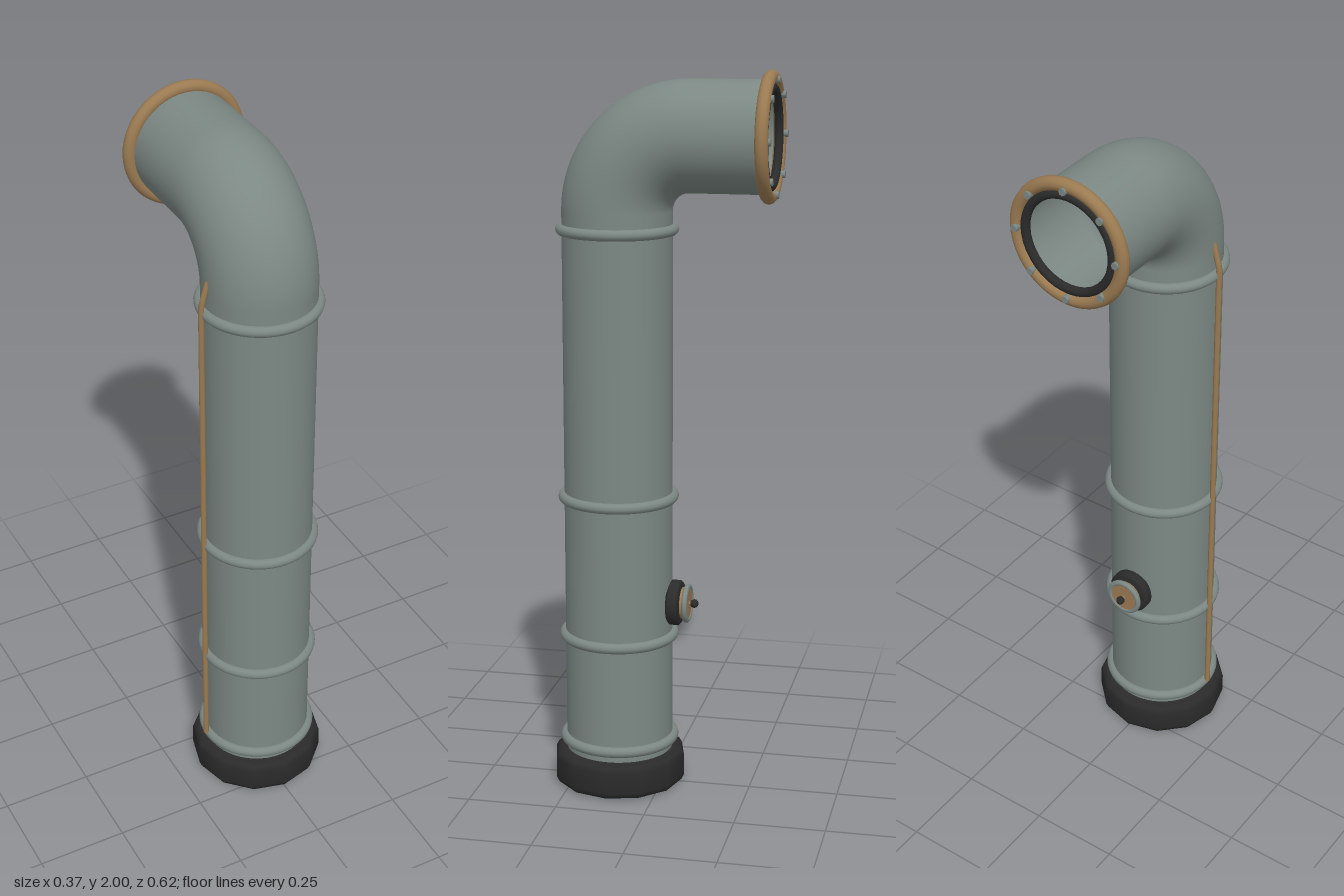
import * as THREE from 'three';

const paint = (name, color, side = THREE.FrontSide) => {
  const m = new THREE.MeshStandardMaterial({ color, side });
  m.name = name;
  return m;
};

export function createModel() {
  const model = new THREE.Group();
  model.name = 'bentPipe';
  const steel = paint('greyGreenSteel', 0x7c8884, THREE.DoubleSide);
  const brass = paint('agedBrass', 0x9b7b52);
  const rubber = paint('blackRubber', 0x2b2b2b);

  const R = 0.15;        // pipe radius
  const Z = 0.125;       // axis of the upright pipe
  const BEND_Y = 1.625;  // where the elbow starts
  const BEND_R = 0.2;    // elbow centreline radius
  const TOP_Y = BEND_Y + BEND_R;

  const add = (name, geometry, material, x, y, z, parent = model) => {
    const mesh = new THREE.Mesh(geometry, material);
    mesh.name = name;
    mesh.position.set(x, y, z);
    parent.add(mesh);
    return mesh;
  };
  // Cylinder lying along z
  const rod = (r, length, sides = 24, open = false) =>
    new THREE.CylinderGeometry(r, r, length, sides, 1, open).rotateX(Math.PI / 2);

  // Twelve-sided rubber foot with rounded rims
  const footProfile = [
    [0, 0], [0.165, 0], [0.179, 0.006], [0.187, 0.022],
    [0.187, 0.08], [0.179, 0.095], [0.165, 0.102], [0, 0.102],
  ].map(([x, y]) => new THREE.Vector2(x, y));
  add('foot', new THREE.LatheGeometry(footProfile, 12), rubber, 0, 0, Z);

  // Upright pipe, elbow and open mouth
  const upright = BEND_Y - 0.05;
  add('uprightPipe', new THREE.CylinderGeometry(R, R, upright, 48, 1, true), steel, 0, 0.05 + upright / 2, Z);
  const elbow = new THREE.TorusGeometry(BEND_R, R, 48, 24, Math.PI / 2).rotateY(-Math.PI / 2);
  add('elbow', elbow, steel, 0, BEND_Y, Z - BEND_R);
  add('mouthPipe', rod(R, 0.22, 48, true), steel, 0, TOP_Y, -0.185);

  // Raised bands round the upright pipe
  for (const y of [0.133, 0.437, 0.835, 1.575]) {
    add('band', new THREE.TorusGeometry(0.152, 0.015, 12, 48).rotateX(Math.PI / 2), steel, 0, y, Z);
  }

  // Brass flange, inner gasket and eight bolts at the mouth
  add('flange', new THREE.TorusGeometry(0.157, 0.018, 12, 48), brass, 0, TOP_Y, -0.289);
  add('gasket', new THREE.TorusGeometry(0.13, 0.012, 10, 40), rubber, 0, TOP_Y, -0.291);
  for (let i = 0; i < 8; i++) {
    const a = (i * Math.PI) / 4;
    add('bolt', rod(0.01, 0.02, 8), steel, R * Math.cos(a), TOP_Y + R * Math.sin(a), -0.303);
  }

  // Thin brass line up the right side, bending in to the elbow
  const line = new THREE.CurvePath();
  const points = [[-0.165, 0.14], [-0.165, 1.6], [-0.145, 1.67]].map(([x, y]) => new THREE.Vector3(x, y, Z));
  line.add(new THREE.LineCurve3(points[0], points[1]));
  line.add(new THREE.LineCurve3(points[1], points[2]));
  add('sideLine', new THREE.TubeGeometry(line, 60, 0.008, 8), brass, 0, 0, 0);

  // Valve on the back of the upright pipe
  const valve = new THREE.Group();
  valve.name = 'valve';
  valve.position.set(0, 0.533, 0);
  model.add(valve);
  const seatProfile = [
    [0, 0], [0.056, 0], [0.063, 0.007], [0.063, 0.03], [0.056, 0.037], [0, 0.037],
  ].map(([x, y]) => new THREE.Vector2(x, y));
  add('valveSeat', new THREE.LatheGeometry(seatProfile, 24).rotateX(-Math.PI / 2), rubber, 0, 0, -0.018, valve);
  add('valveBody', rod(0.044, 0.026), brass, 0, 0, -0.062, valve);
  add('valveRim', new THREE.TorusGeometry(0.047, 0.008, 10, 32), steel, 0, 0, -0.07, valve);
  add('valveStem', rod(0.006, 0.025, 10), brass, 0, 0, -0.082, valve);
  add('valveKnob', new THREE.SphereGeometry(0.012, 16, 12), rubber, 0, 0, -0.09, valve);

  return model;
}
